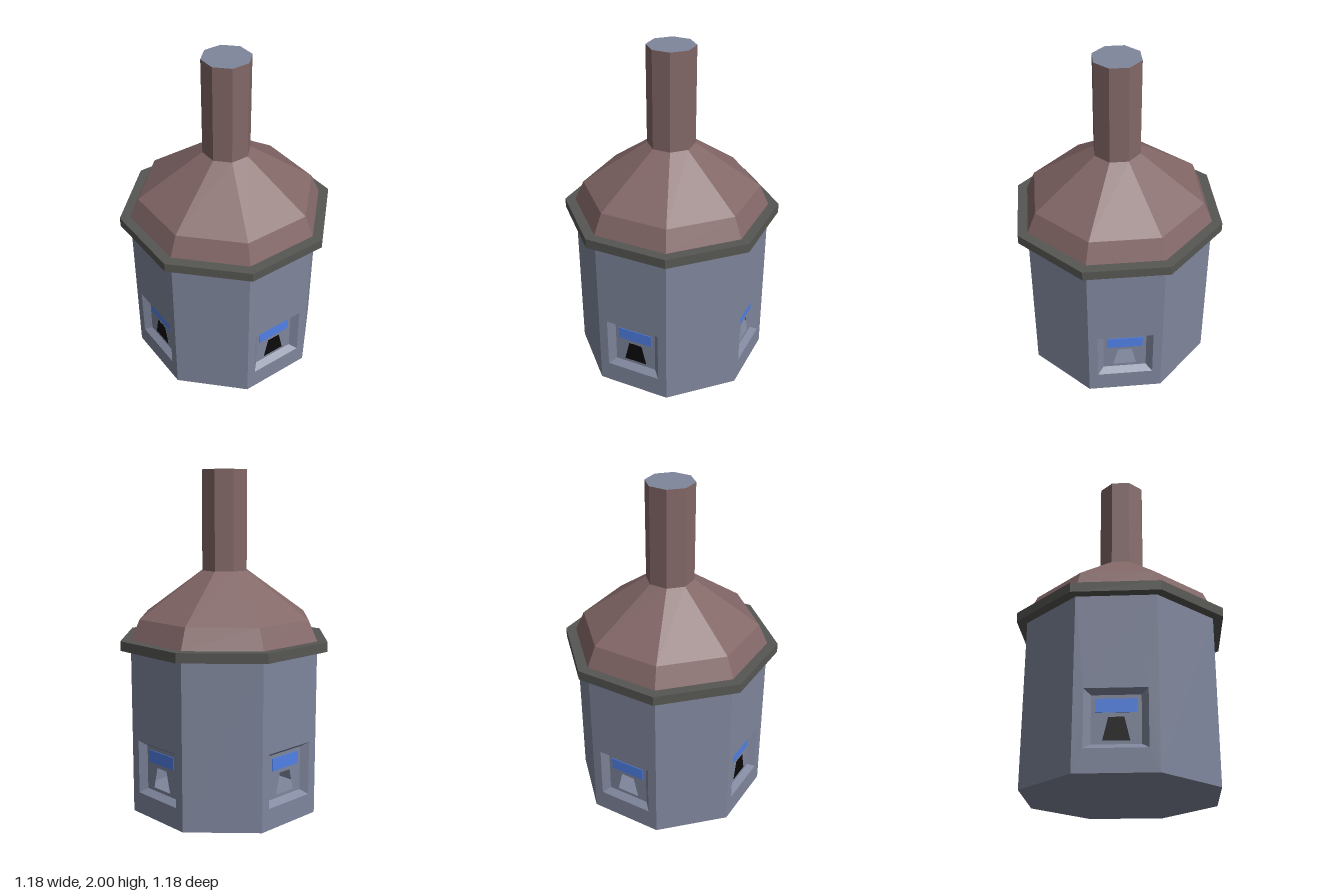
import * as THREE from 'three';

const material = (name, color, side = THREE.FrontSide) => {
  const m = new THREE.MeshStandardMaterial({ color, side, flatShading: true });
  m.name = name;
  return m;
};

export function createModel() {
  const wallMat = material('slate blue', 0x7f869c, THREE.DoubleSide);
  const roofMat = material('dull brown', 0x836767);
  const trimMat = material('dark grey', 0x565653);
  const signMat = material('bright blue', 0x4f80e6);
  const darkMat = material('black', 0x0a0a0a);

  const model = new THREE.Group();
  model.name = 'octagonalTower';

  const add = (parent, name, geometry, mat, x = 0, y = 0, z = 0) => {
    const mesh = new THREE.Mesh(geometry, mat);
    mesh.name = name;
    mesh.position.set(x, y, z);
    parent.add(mesh);
    return mesh;
  };

  // Octagonal section; sizes are measured to the flat sides
  const toCorner = 1 / Math.cos(Math.PI / 8);
  const prism = (name, top, bottom, y0, y1, mat, open) =>
    add(model, name, new THREE.CylinderGeometry(top * toCorner, bottom * toCorner, y1 - y0, 8, 1, open, Math.PI / 8), mat, 0, (y0 + y1) / 2, 0);
  const disc = (name, size, y, facing) => {
    const g = new THREE.CircleGeometry(size * toCorner, 8, Math.PI / 8);
    add(model, name, g.rotateX(-facing * Math.PI / 2), wallMat, 0, y, 0);
  };

  const R = 0.535, H = 0.98, half = R * Math.tan(Math.PI / 8);
  const depth = 0.037;
  const outer = [[-0.167, 0.127], [0.167, 0.127], [0.167, 0.444], [-0.167, 0.444]];
  const inner = [[-0.13, 0.156], [0.13, 0.156], [0.13, 0.418], [-0.13, 0.418]];
  const slot = [[-0.071, 0.175], [0.071, 0.175], [0.041, 0.3], [-0.041, 0.3]];
  const points = (list) => list.map(([x, y]) => new THREE.Vector2(x, y));
  const plate = (list, hole) => {
    const shape = new THREE.Shape(points(list));
    if (hole) shape.holes.push(new THREE.Path(points(hole)));
    return new THREE.ShapeGeometry(shape);
  };

  // Sloping sides of the recess, from the wall opening to the back panel
  const recess = () => {
    const pos = [];
    for (let i = 0; i < 4; i++) {
      const j = (i + 1) % 4;
      const a = [...outer[i], 0], b = [...outer[j], 0];
      const c = [...inner[j], -depth], d = [...inner[i], -depth];
      pos.push(...a, ...b, ...c, ...a, ...c, ...d);
    }
    const g = new THREE.BufferGeometry();
    g.setAttribute('position', new THREE.Float32BufferAttribute(pos, 3));
    g.computeVertexNormals();
    return g;
  };

  // Eight walls; the diagonal ones have a recessed panel
  const wallOutline = [[-half, 0], [half, 0], [half, H], [-half, H]];
  for (let i = 0; i < 8; i++) {
    const side = new THREE.Group();
    side.name = `side${i + 1}`;
    side.rotation.y = i * Math.PI / 4;
    model.add(side);
    const recessed = i % 2 === 1;
    add(side, 'wall', plate(wallOutline, recessed && outer), wallMat, 0, 0, R);
    if (!recessed) continue;

    // Front slots are filled with black, rear slots are open
    const isFront = i === 1 || i === 7;
    add(side, 'recessSides', recess(), wallMat, 0, 0, R);
    add(side, 'recessPanel', plate(inner, slot), wallMat, 0, 0, R - depth);
    if (isFront) add(side, 'darkSlot', plate(slot), darkMat, 0, 0, R - depth + 0.001);
    add(side, 'bluePlate', new THREE.BoxGeometry(0.216, 0.074, 0.004), signMat, 0, 0.36, R - depth + 0.002);
  }

  // Floor, eaves, roof and chimney
  disc('floor', R, 0, -1);
  prism('eavesTrim', 0.592, 0.592, 0.974, 1.03, trimMat, false);
  prism('lowerRoof', 0.485, R, 1.03, 1.15, roofMat, true);
  prism('upperRoof', 0.13, 0.485, 1.15, 1.42, roofMat, true);
  prism('chimney', 0.13, 0.13, 1.42, 2, roofMat, true);
  disc('chimneyCap', 0.13, 2, 1);

  return model;
}
